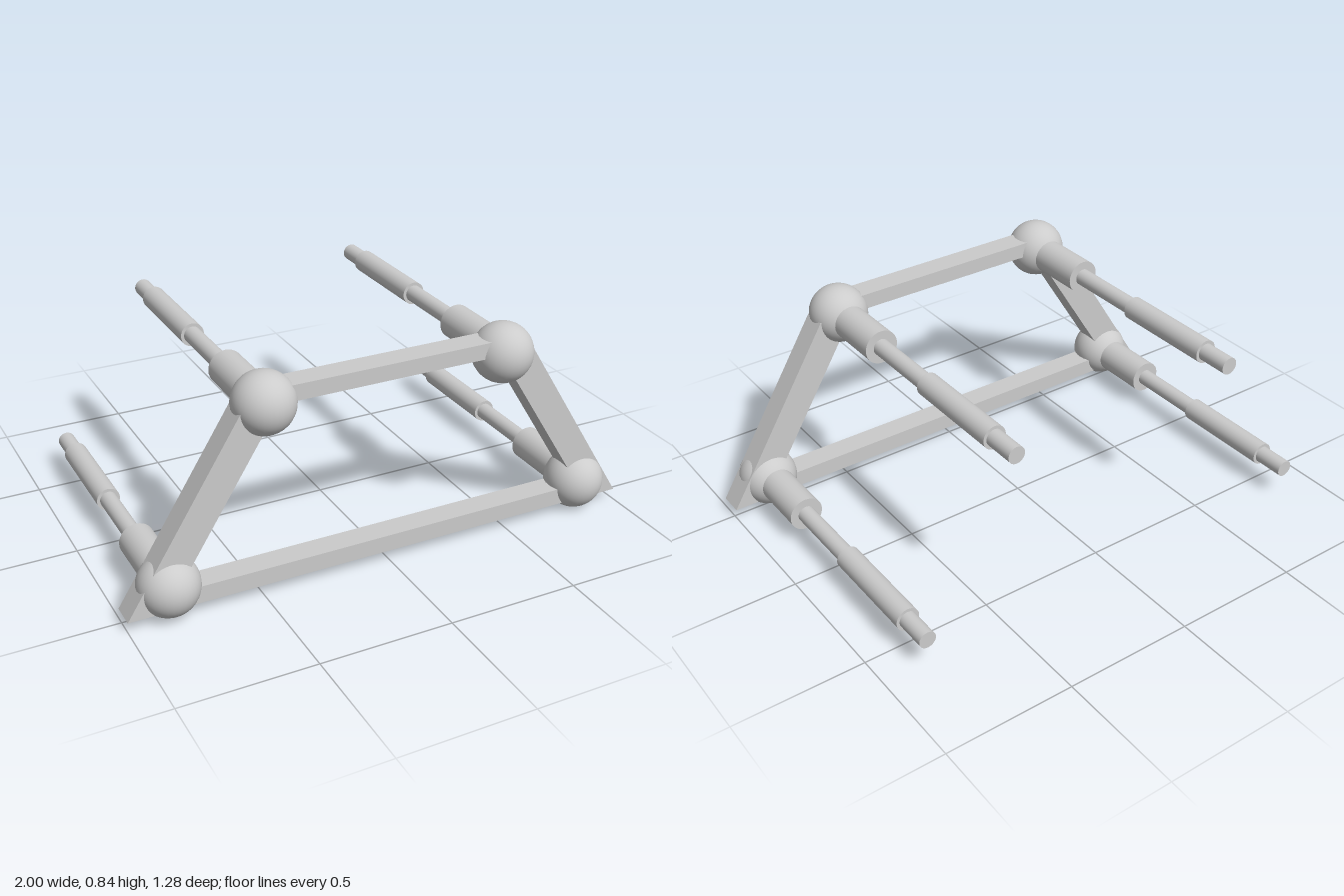
import * as THREE from 'three';

const material = new THREE.MeshStandardMaterial({ color: 0xcccccc });
const FRAME_Z = 0.523, DEPTH = 0.095, BALL_R = 0.113;

function addMesh(parent, name, geometry, x = 0, y = 0, z = 0) {
  const mesh = new THREE.Mesh(geometry, material);
  mesh.name = name;
  mesh.position.set(x, y, z);
  parent.add(mesh);
  return mesh;
}

// Cylinder along z between two depths
function addRod(parent, name, radius, zFront, zBack) {
  const geometry = new THREE.CylinderGeometry(radius, radius, zFront - zBack, 32).rotateX(Math.PI / 2);
  addMesh(parent, name, geometry, 0, 0, (zFront + zBack) / 2);
}

// Slanted side bar with level ends
function sideBar(side) {
  const points = [[-1, 0.043], [-0.862, 0.043], [-0.432, 0.73], [-0.57, 0.73]]
    .map(([x, y]) => new THREE.Vector2(-side * x, y));
  return new THREE.ExtrudeGeometry(new THREE.Shape(points), { depth: DEPTH, bevelEnabled: false });
}

export function createModel() {
  const model = new THREE.Group();
  model.name = 'trapezoidFrame';

  // Flat frame
  addMesh(model, 'bottomBar', new THREE.BoxGeometry(1.78, 0.065, DEPTH), 0, 0.077, FRAME_Z);
  addMesh(model, 'topBar', new THREE.BoxGeometry(0.94, 0.06, DEPTH), 0, 0.76, FRAME_Z);
  for (const side of [-1, 1]) {
    addMesh(model, side > 0 ? 'leftSideBar' : 'rightSideBar', sideBar(side), 0, 0, FRAME_Z - DEPTH / 2);
  }

  // Corner balls, each with a stepped rod running back
  const corners = [
    ['upperRight', -0.47, 0.728, 0.723], ['upperLeft', 0.465, 0.722, 0.72],
    ['lowerRight', -0.835, 0.121, 0.12], ['lowerLeft', 0.832, 0.114, 0.118],
  ];
  for (const [name, x, ballY, rodY] of corners) {
    const corner = new THREE.Group();
    corner.name = name + 'Corner';
    corner.position.set(x, rodY, 0);
    model.add(corner);
    const ball = new THREE.SphereGeometry(BALL_R, 32, 24);
    addMesh(corner, 'ball', ball, 0, ballY - rodY, FRAME_Z + 0.002);
    addRod(corner, 'socket', 0.066, 0.48, 0.207);
    addRod(corner, 'rod', 0.033, 0.3, -0.64);
    addRod(corner, 'sleeve', 0.045, -0.107, -0.515);
  }
  return model;
}
